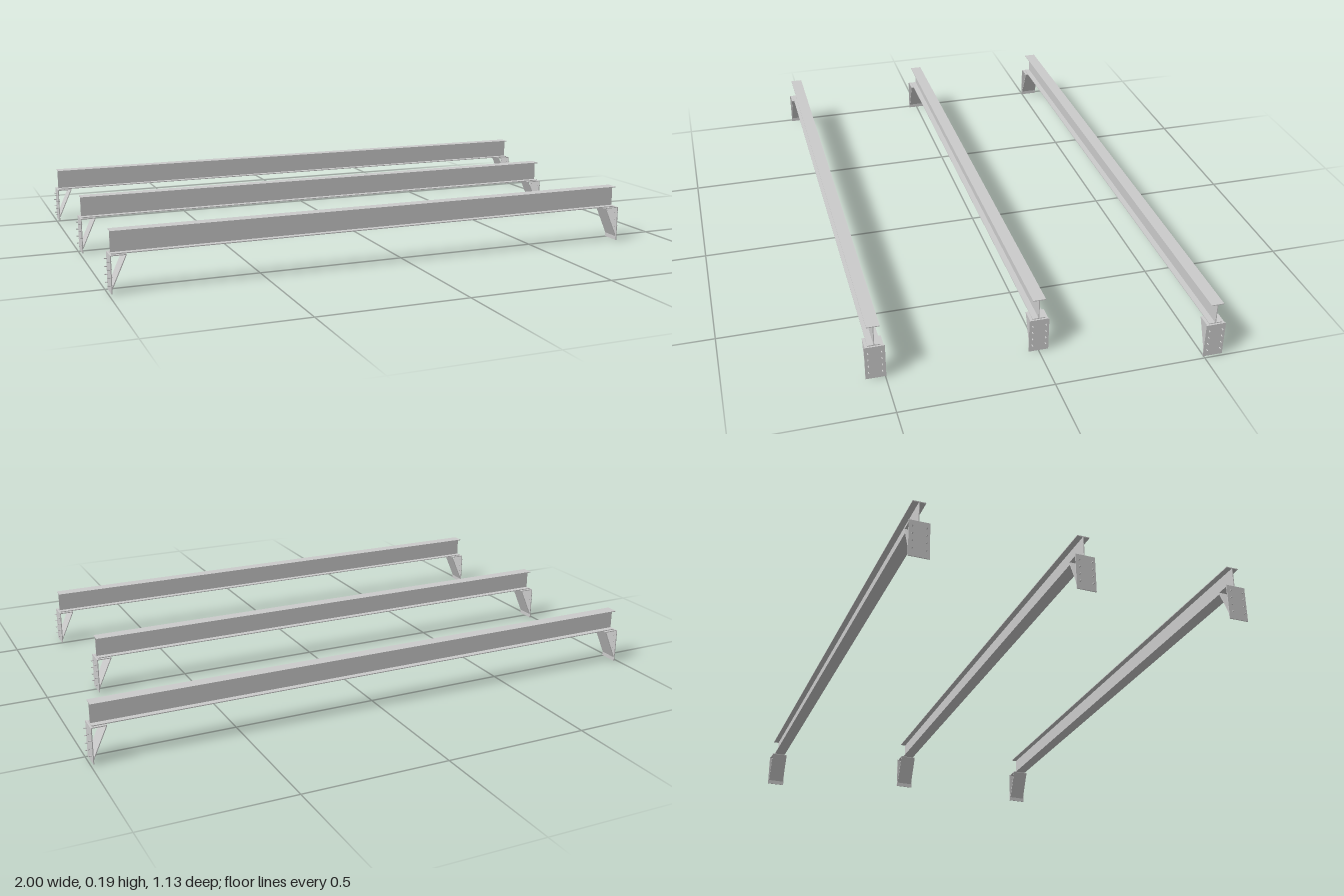
import * as THREE from 'three';

const material = new THREE.MeshStandardMaterial({ color: 0xcccccc, flatShading: true });

function box(name, w, h, d, x, y, z = 0) {
  const mesh = new THREE.Mesh(new THREE.BoxGeometry(w, h, d), material);
  mesh.name = name;
  mesh.position.set(x, y, z);
  return mesh;
}

// I-section beam running along x, resting on the brackets
function createBeam(length) {
  const W = 0.021, B = 0.121, T = 0.194, f = 0.003, w = 0.0014;
  const half = [[W, B], [W, B + f], [w, B + f], [w, T - f], [W, T - f], [W, T]];
  const outline = [...half, ...half.map(([z, y]) => [-z, y]).reverse()];
  const shape = new THREE.Shape(outline.map(([z, y]) => new THREE.Vector2(z, y)));
  const geometry = new THREE.ExtrudeGeometry(shape, { depth: length, bevelEnabled: false });
  geometry.translate(0, 0, -length / 2).rotateY(Math.PI / 2);
  const mesh = new THREE.Mesh(geometry, material);
  mesh.name = 'iBeam';
  return mesh;
}

// Wall bracket: outer face at x = 0, the shelf reaches towards +x
function createBracket() {
  const bracket = new THREE.Group();
  bracket.name = 'wallBracket';
  bracket.add(box('wallPlate', 0.003, 0.121, 0.066, 0.0015, 0.0605));
  bracket.add(box('shelfPlate', 0.05, 0.003, 0.06, 0.026, 0.1195));

  // Sloping brace plate from the wall plate to the edge of the shelf
  const from = new THREE.Vector2(0.003, 0.015), to = new THREE.Vector2(0.05, 0.119);
  const span = to.clone().sub(from);
  const brace = box('bracePlate', 0.003, span.length(), 0.06,
    (from.x + to.x) / 2, (from.y + to.y) / 2);
  brace.rotation.z = span.angle() - Math.PI / 2;
  bracket.add(brace);

  // Two columns of small bolts through the wall plate
  const boltGeometry = new THREE.CylinderGeometry(0.0018, 0.0018, 0.015, 8).rotateZ(Math.PI / 2);
  for (const z of [-0.022, 0.022]) {
    for (const y of [0.025, 0.05, 0.075, 0.1]) {
      const bolt = new THREE.Mesh(boltGeometry, material);
      bolt.name = 'bolt';
      bolt.position.set(-0.0015, y, z);
      bracket.add(bolt);
    }
  }
  return bracket;
}

export function createModel() {
  const model = new THREE.Group();
  model.name = 'beamsOnBrackets';
  const left = -0.991;

  // The rearmost beam is longer than the other two
  for (const [z, right] of [[-0.53, 0.991], [0, 0.826], [0.53, 0.826]]) {
    const unit = new THREE.Group();
    unit.name = 'supportedBeam';
    unit.position.z = z;
    const beam = createBeam(right - left - 0.012);
    beam.position.x = (left + right) / 2;
    const startBracket = createBracket();
    startBracket.position.x = left;
    const endBracket = createBracket();
    endBracket.position.x = right;
    endBracket.rotation.y = Math.PI;
    unit.add(beam, startBracket, endBracket);
    model.add(unit);
  }
  return model;
}
